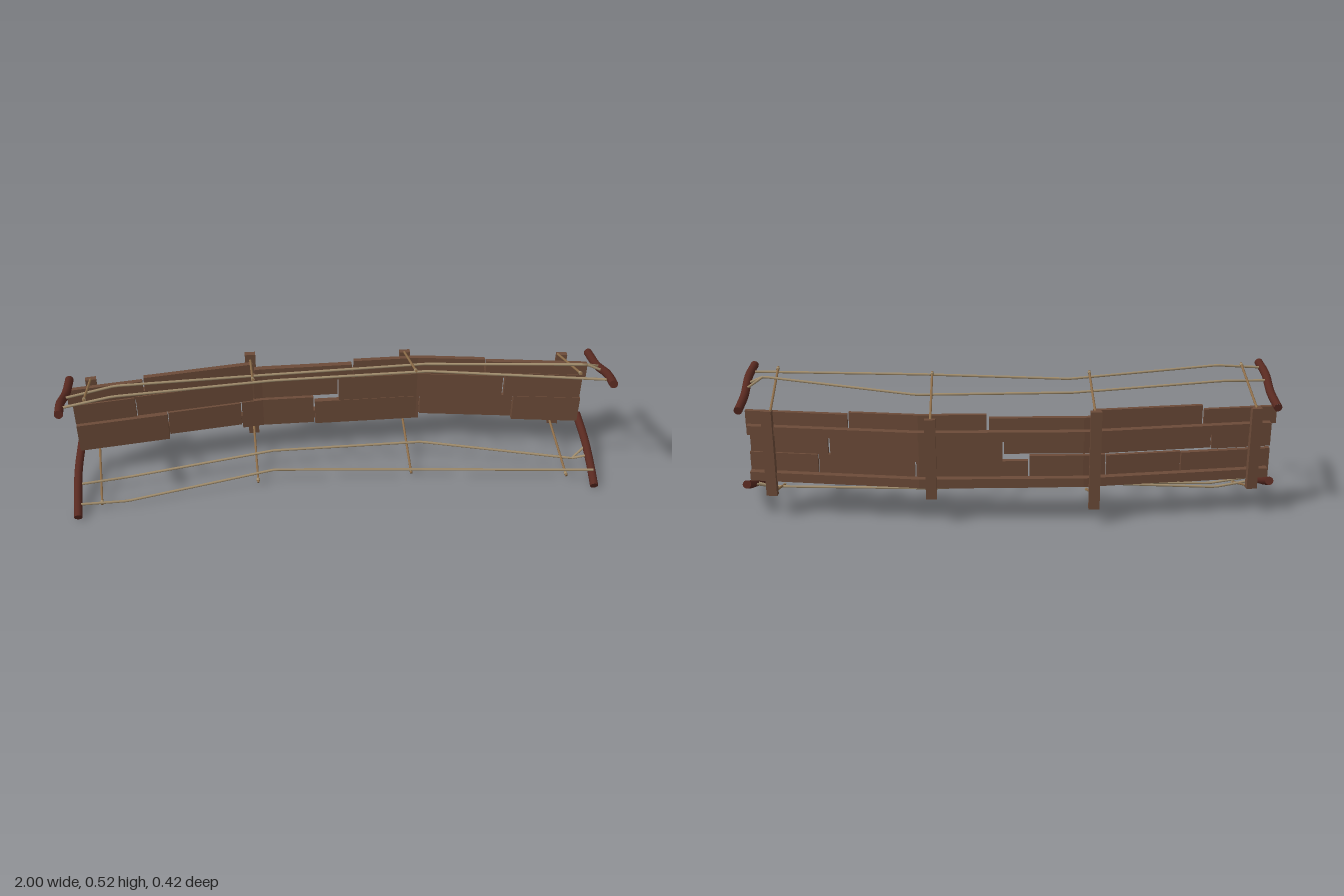
import * as THREE from 'three';

const mat = (name, color) => {
  const m = new THREE.MeshStandardMaterial({ color });
  m.name = name;
  return m;
};

export function createModel() {
  const group = new THREE.Group();
  const plankWood = mat('plank wood', 0x6c4b38);
  const poleWood = mat('dark red pole wood', 0x582920);
  const stickWood = mat('pale stick wood', 0x8d6d49);
  const cordFibre = mat('pale cord', 0xa08c6c);

  const add = (name, geometry, material) => {
    const mesh = new THREE.Mesh(geometry, material);
    mesh.name = name;
    group.add(mesh);
    return mesh;
  };
  const vec = (p) => new THREE.Vector3(...p);

  // Depth of the plane between planks and rails, bent in three straight runs
  const bends = [[-0.98, -0.075], [-0.27, -0.165], [0.33, -0.165], [0.98, -0.075]];
  const bendZ = (x) => {
    let i = 0;
    while (i < 2 && x > bends[i + 1][0]) i++;
    const [x0, z0] = bends[i], [x1, z1] = bends[i + 1];
    return z0 + (z1 - z0) * (x - x0) / (x1 - x0);
  };

  // Board running along x that follows the bend, with depth offsets from it
  const board = (name, x0, x1, y0, y1, back, front) => {
    const stops = [x0, ...bends.slice(1, 3).map((b) => b[0]).filter((x) => x > x0 && x < x1), x1];
    const n = stops.length - 1;
    let g = new THREE.BoxGeometry(n, y1 - y0, front - back, n, 1, 1);
    const p = g.attributes.position;
    for (let i = 0; i < p.count; i++) {
      const x = stops[Math.round(p.getX(i) + n / 2)];
      p.setXYZ(i, x, p.getY(i) + (y0 + y1) / 2, p.getZ(i) + (front + back) / 2 + bendZ(x));
    }
    g = g.toNonIndexed();
    g.computeVertexNormals();
    add(name, g, plankWood);
  };

  // Planks: x start, x end, bottom, top
  const rows = [
    [[-0.99, -0.715, 0.345, 0.412], [-0.708, -0.303, 0.35, 0.428], [-0.297, 0.074, 0.34, 0.402],
      [0.082, 0.582, 0.342, 0.415], [0.588, 0.967, 0.345, 0.407]],
    [[-0.975, -0.75, 0.257, 0.342], [-0.745, -0.307, 0.262, 0.348], [-0.302, 0.02, 0.265, 0.34],
      [0.025, 0.657, 0.234, 0.341], [0.665, 0.955, 0.25, 0.357]],
    [[-0.975, -0.637, 0.13, 0.247], [-0.633, -0.356, 0.15, 0.252], [-0.352, -0.074, 0.135, 0.256],
      [-0.068, 0.34, 0.13, 0.236], [0.345, 0.7, 0.15, 0.25], [0.705, 0.96, 0.135, 0.247]],
  ];
  rows.forEach((row, r) => row.forEach(([x0, x1, y0, y1], i) =>
    board('plank', x0, x1, y0, y1, 0, 0.017 + 0.002 * ((i + r) % 3))));

  // Two rails behind the planks
  board('lowerRail', -0.965, 0.96, 0.143, 0.177, -0.027, 0);
  board('upperRail', -0.965, 0.96, 0.322, 0.357, -0.027, 0);

  // Upright posts behind the rails: x, bottom, top, depth, turn
  [
    [-0.905, 0.105, 0.42, -0.119, 0.13],
    [-0.31, 0.062, 0.438, -0.202, 0],
    [0.285, 0.107, 0.413, -0.202, 0],
    [0.88, 0.09, 0.42, -0.119, -0.13],
  ].forEach(([x, y0, y1, z, turn]) => {
    const post = add('post', new THREE.BoxGeometry(0.04, y1 - y0, 0.021), plankWood);
    post.position.set(x, (y0 + y1) / 2, z);
    post.rotation.y = turn;
  });

  // Curved end poles with flat caps
  const pole = (name, points, side) => {
    const curve = new THREE.CatmullRomCurve3(points.map(([x, y, z]) => vec([side * x, y, z])));
    const r = 0.0155;
    add(name, new THREE.TubeGeometry(curve, 20, r, 14), poleWood);
    [0, 1].forEach((t) => {
      const cap = add(name + 'Cap', new THREE.CircleGeometry(r, 14), poleWood);
      cap.position.copy(curve.getPoint(t));
      const dir = curve.getTangent(t).multiplyScalar(t ? 1 : -1);
      cap.quaternion.setFromUnitVectors(vec([0, 0, 1]), dir);
    });
  };
  const upper = [[0.977, 0.5, 0.203], [0.984, 0.479, 0.11], [0.98, 0.442, 0], [0.982, 0.42, -0.118]];
  const lower = [[0.977, 0.016, 0.197], [0.982, 0.051, 0.1], [0.984, 0.084, 0], [0.974, 0.13, -0.113]];
  [-1, 1].forEach((side) => {
    pole('upperEndPole', upper, side);
    pole('lowerEndPole', lower, side);
  });

  // Straight round rod between two points
  const rod = (name, a, b, r, material) => {
    const d = b.clone().sub(a);
    const mesh = add(name, new THREE.CylinderGeometry(r, r, d.length(), 10), material);
    mesh.position.copy(a).add(b).multiplyScalar(0.5);
    mesh.quaternion.setFromUnitVectors(vec([0, 1, 0]), d.normalize());
  };

  // Sticks reaching forward from the posts, each with a cord lashing near its tip
  [
    [[-0.905, 0.418, -0.115], [-0.895, 0.513, 0.145]],
    [[-0.31, 0.41, -0.2], [-0.305, 0.507, 0.068]],
    [[0.283, 0.41, -0.2], [0.286, 0.507, 0.068]],
    [[0.865, 0.418, -0.12], [0.875, 0.508, 0.14]],
    [[-0.91, 0.108, -0.115], [-0.893, 0.022, 0.14]],
    [[-0.31, 0.118, -0.2], [-0.305, 0.025, 0.07]],
    [[0.283, 0.118, -0.2], [0.287, 0.025, 0.07]],
    [[0.867, 0.108, -0.12], [0.882, 0.025, 0.14]],
  ].forEach(([a, b]) => {
    const root = vec(a), tip = vec(b);
    rod('stick', root, tip, 0.0045, stickWood);
    rod('lashing', root.clone().lerp(tip, 0.94), root.clone().lerp(tip, 0.975), 0.0065, cordFibre);
  });

  // Cords strung between the end poles
  [
    [[-0.98, 0.492, 0.155], [-0.8, 0.51, 0.128], [-0.23, 0.484, 0.046], [0.33, 0.5, 0.062], [0.98, 0.486, 0.155]],
    [[-0.98, 0.468, 0.065], [-0.8, 0.48, 0.022], [-0.24, 0.455, -0.032], [0.34, 0.455, -0.048],
      [0.92, 0.493, 0.064], [0.98, 0.457, 0.027]],
    [[0.92, 0.493, 0.064], [0.98, 0.466, 0.07]],
    [[-0.98, 0.04, 0.152], [-0.8, 0.022, 0.128], [-0.24, 0.064, 0.046], [0.33, 0.034, 0.062], [0.98, 0.058, 0.152]],
    [[-0.98, 0.064, 0.065], [-0.8, 0.05, 0.022], [-0.24, 0.095, -0.032], [0.34, 0.083, -0.048],
      [0.92, 0.048, 0.064], [0.98, 0.075, 0.027]],
    [[0.92, 0.048, 0.064], [0.98, 0.064, 0.07]],
  ].forEach((line) => {
    const path = new THREE.CurvePath();
    for (let i = 1; i < line.length; i++) path.add(new THREE.LineCurve3(vec(line[i - 1]), vec(line[i])));
    add('cord', new THREE.TubeGeometry(path, 80, 0.0048, 10), cordFibre);
  });

  return group;
}
